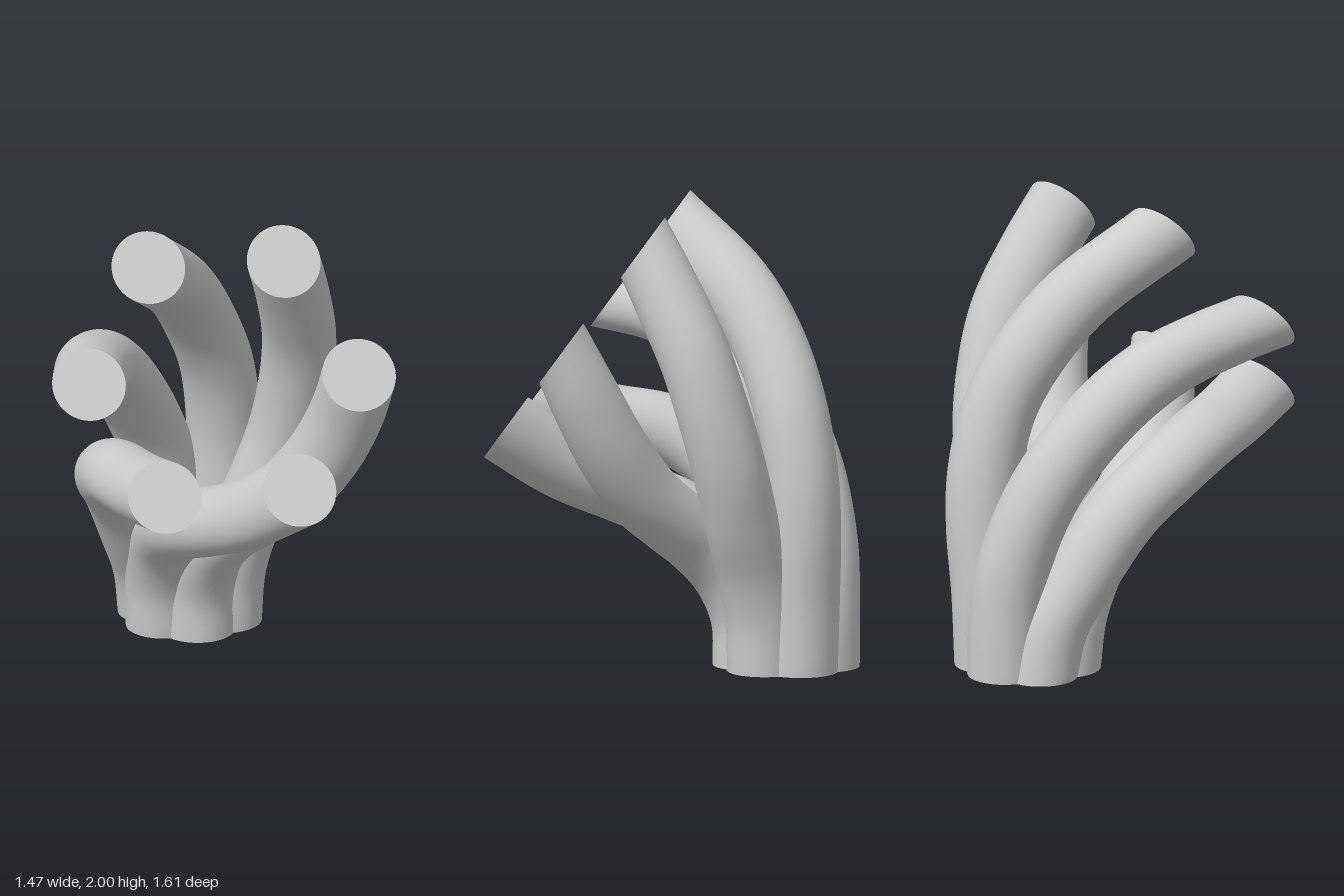
import * as THREE from 'three';
import { toCreasedNormals } from 'three/addons/utils/BufferGeometryUtils.js';

const RADIUS = 0.16;
const UP = new THREE.Vector3(0, 1, 0);
// Every tube starts level on the floor and ends with the same tilted cut.
const END_NORMAL = new THREE.Vector3(0.18, 0.58, 0.79).normalize();

// Sweeps a round section along a path, turning it from level to the end tilt
// and letting it follow the path direction partly in between.
function sweptTube(points) {
  const curve = new THREE.CatmullRomCurve3(points.map((p) => new THREE.Vector3(...p)), false, 'centripetal');
  const geometry = new THREE.CylinderGeometry(RADIUS, RADIUS, 1, 48, 48);
  const position = geometry.attributes.position;
  const v = new THREE.Vector3();
  const normal = new THREE.Vector3();
  const turn = new THREE.Quaternion();
  for (let i = 0; i < position.count; i++) {
    const t = THREE.MathUtils.clamp(position.getY(i) + 0.5, 0, 1);
    normal.lerpVectors(UP, END_NORMAL, t).normalize();
    normal.lerp(curve.getTangentAt(t), 0.4 * Math.sin(Math.PI * t)).normalize();
    turn.setFromUnitVectors(UP, normal);
    v.set(position.getX(i), 0, position.getZ(i)).applyQuaternion(turn).add(curve.getPointAt(t));
    position.setXYZ(i, v.x, v.y, v.z);
  }
  return toCreasedNormals(geometry, 0.7);
}

// Centre lines after the base point, in order around the base ring.
const PATHS = {
  rightBackTube: [[0.003, 0.22, -0.445], [0.055, 0.42, -0.43], [0.16, 0.66, -0.41], [0.25, 0.92, -0.385],
    [0.3, 1.2, -0.32], [0.31, 1.42, -0.245], [0.285, 1.66, -0.115], [0.25, 1.86, 0.01]],
  rightMiddleTube: [[-0.125, 0.2, -0.33], [-0.085, 0.38, -0.265], [0.0, 0.52, -0.18], [0.13, 0.645, -0.095],
    [0.28, 0.79, 0.0], [0.425, 1.0, 0.085], [0.525, 1.23, 0.17], [0.578, 1.44, 0.26]],
  rightFrontTube: [[-0.277, 0.22, -0.35], [-0.265, 0.42, -0.25], [-0.235, 0.55, -0.115], [-0.18, 0.635, 0.03],
    [-0.08, 0.725, 0.2], [0.1, 0.85, 0.4], [0.33, 1.05, 0.607]],
  leftFrontTube: [[-0.33, 0.2, -0.49], [-0.385, 0.43, -0.37], [-0.45, 0.69, -0.2], [-0.487, 0.86, 0.01],
    [-0.45, 0.95, 0.22], [-0.36, 0.995, 0.45], [-0.245, 1.055, 0.707]],
  leftMiddleTube: [[-0.21, 0.25, -0.64], [-0.25, 0.53, -0.615], [-0.34, 0.87, -0.5], [-0.445, 1.17, -0.28],
    [-0.52, 1.345, -0.05], [-0.565, 1.43, 0.2], [-0.575, 1.472, 0.46]],
  leftBackTube: [[-0.045, 0.3, -0.61], [-0.025, 0.6, -0.625], [-0.022, 0.85, -0.615], [-0.05, 1.15, -0.55],
    [-0.12, 1.4, -0.43], [-0.2, 1.62, -0.25], [-0.328, 1.87, 0.112]],
};

export function createModel() {
  const model = new THREE.Group();
  model.name = 'tubeCluster';
  const material = new THREE.MeshStandardMaterial({ color: 0xcccccc });
  Object.entries(PATHS).forEach(([name, path], i) => {
    // Base sections overlap in a ring of six.
    const angle = THREE.MathUtils.degToRad(16 + 60 * i);
    const base = [-0.163 + 0.156 * Math.cos(angle), 0, -0.49 + 0.156 * Math.sin(angle)];
    const tube = new THREE.Mesh(sweptTube([base, ...path]), material);
    tube.name = name;
    model.add(tube);
  });
  return model;
}
